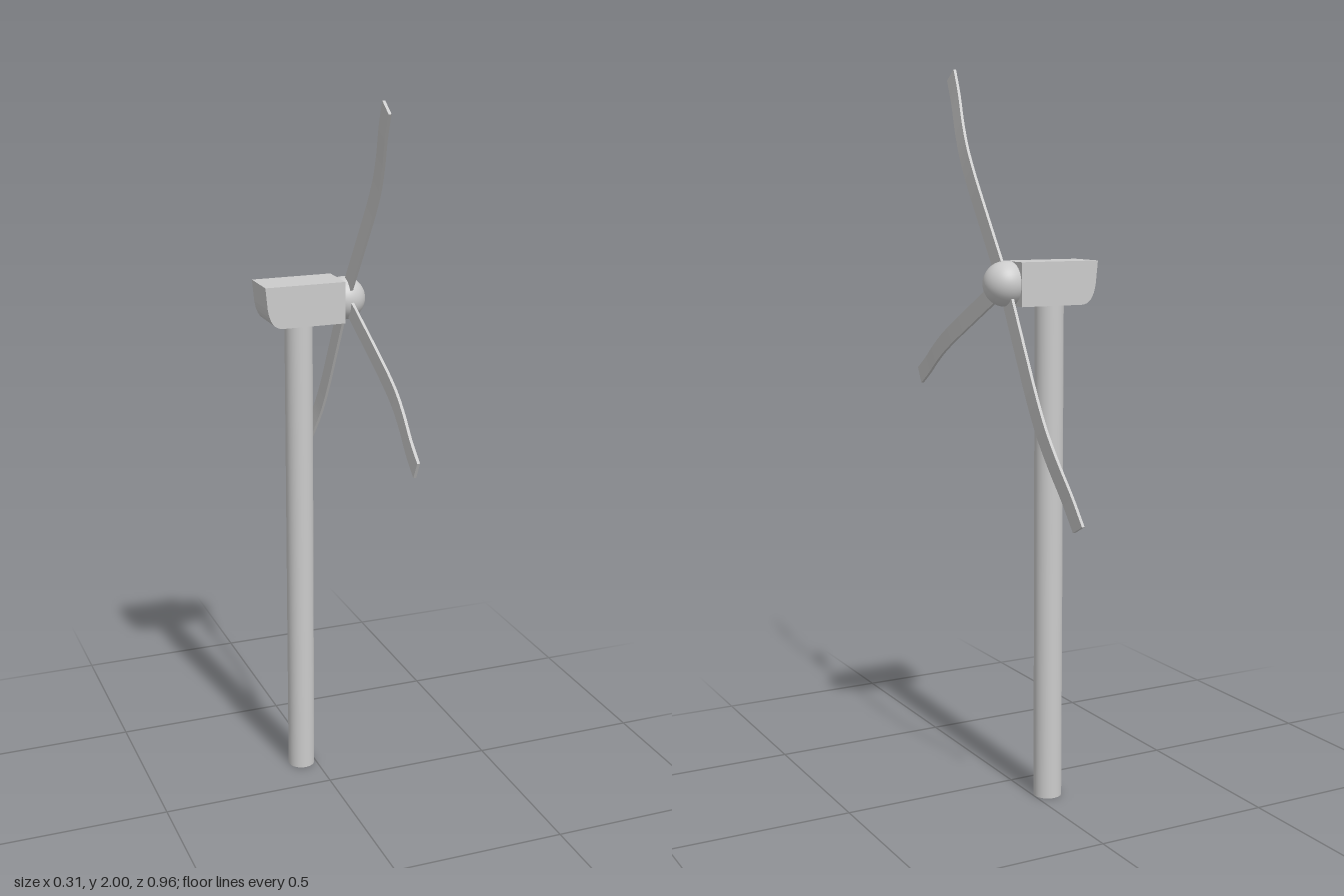
import * as THREE from 'three';

const HUB_Y = 1.428, HUB_Z = -0.139;

export function createModel() {
  const model = new THREE.Group();
  const material = new THREE.MeshStandardMaterial({ color: 0xcccccc });
  const add = (name, geometry, parent = model) => {
    const mesh = new THREE.Mesh(geometry, material);
    mesh.name = name;
    parent.add(mesh);
    return mesh;
  };

  // Tower
  add('tower', new THREE.CylinderGeometry(0.039, 0.039, 1.372, 32)).position.set(-0.042, 0.686, -0.136);

  // Nacelle: side profile with a rounded lower rear corner
  const profile = new THREE.Shape();
  profile.moveTo(0.075, 1.486);
  profile.lineTo(-0.155, 1.486);
  profile.lineTo(-0.149, 1.426);
  profile.quadraticCurveTo(-0.141, 1.37, -0.105, 1.37);
  profile.lineTo(0.075, 1.37);
  profile.closePath();
  add('nacelle', new THREE.ExtrudeGeometry(profile, { depth: 0.118, bevelEnabled: false, curveSegments: 8 }))
    .position.z = HUB_Z - 0.059;

  // Rotor spins about the x axis
  const rotor = new THREE.Group();
  rotor.name = 'rotor';
  rotor.position.set(0, HUB_Y, HUB_Z);
  model.add(rotor);

  // Hub: domed nose with a flat back
  const points = [new THREE.Vector2(0, 0.068)];
  for (let i = 0; i <= 20; i++) {
    const a = -0.4 + (Math.PI / 2 + 0.4) * i / 20;
    points.push(new THREE.Vector2(Math.max(0, 0.06 * Math.cos(a)), 0.092 + 0.06 * Math.sin(a)));
  }
  const hub = add('hub', new THREE.LatheGeometry(points, 40), rotor);
  hub.rotation.z = -Math.PI / 2;

  // Blades: thin strips whose outer half sweeps back toward the tower
  const LENGTH = 0.68;
  const bladeGeometry = new THREE.BoxGeometry(0.008, LENGTH, 0.05, 1, 24, 1);
  bladeGeometry.translate(0.096, LENGTH / 2, 0);
  const bend = new THREE.CatmullRomCurve3([
    [0, 0], [0.2, 0], [0.34, -0.001], [0.42, -0.005], [0.5, -0.015], [0.6, -0.032], [0.68, -0.042],
  ].map(([r, x]) => new THREE.Vector3(x, r, 0))).getSpacedPoints(80);
  const pos = bladeGeometry.attributes.position;
  for (let i = 0; i < pos.count; i++) {
    const p = bend[Math.round(80 * pos.getY(i) / LENGTH)];
    pos.setXY(i, pos.getX(i) + p.x, p.y);
  }
  bladeGeometry.computeVertexNormals();
  for (const degrees of [34.8, 116.7, 207.9]) {
    add('blade', bladeGeometry, rotor).rotation.x = THREE.MathUtils.degToRad(degrees);
  }

  return model;
}
